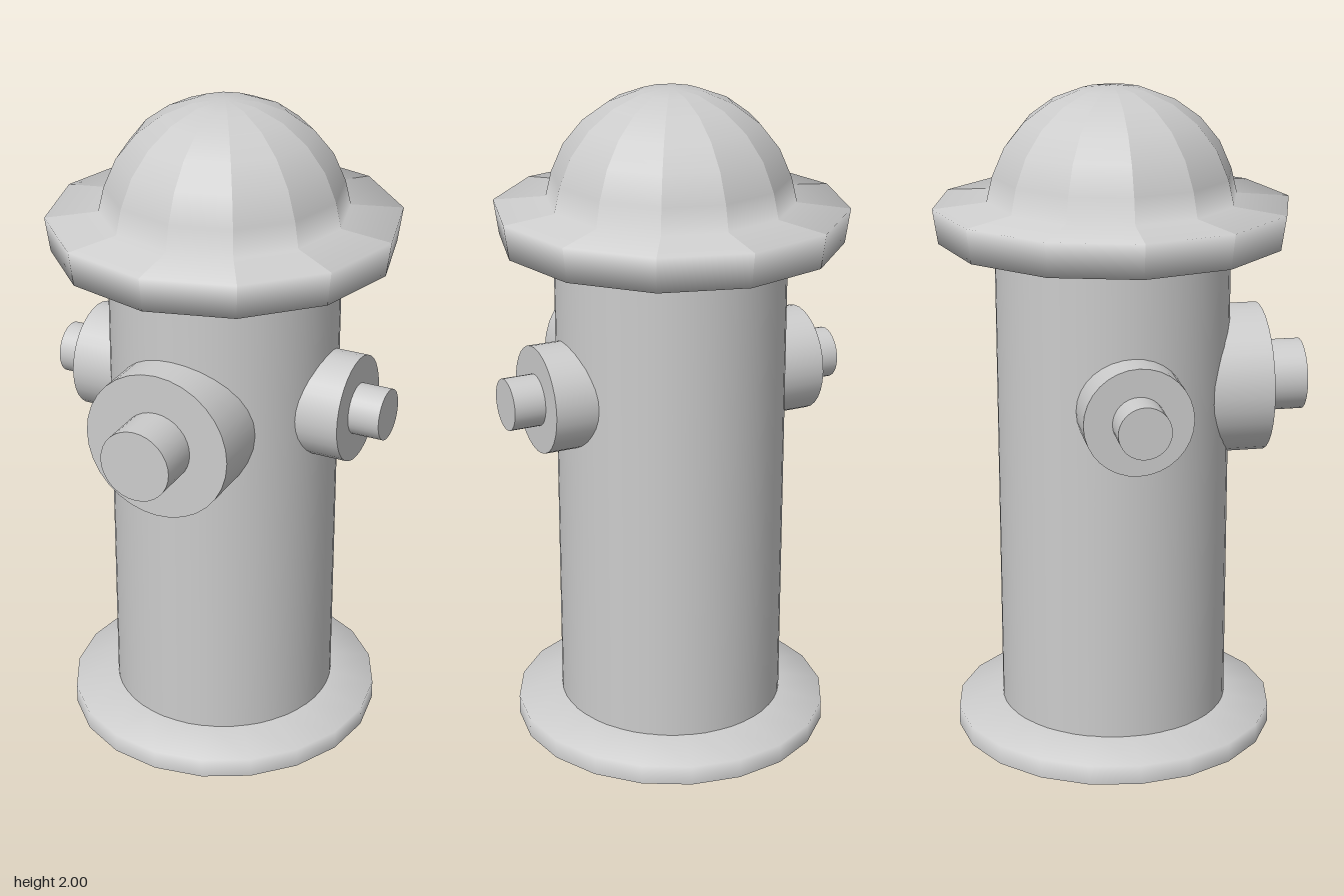
import * as THREE from 'three';

const grey = new THREE.MeshStandardMaterial({ color: 0xcccccc, side: THREE.DoubleSide });
const AXIS_Z = -0.023; // the barrel sits slightly behind the centre

function add(parent, name, geometry) {
  const mesh = new THREE.Mesh(geometry, grey);
  mesh.name = name;
  parent.add(mesh);
  return mesh;
}

function lathe(points, sides) {
  return new THREE.LatheGeometry(points.map(([r, y]) => new THREE.Vector2(r, y)), sides);
}

// Keep shading smooth up the profile but flat across each vertical panel
function panelled(geometry, sides) {
  const g = geometry.toNonIndexed();
  const p = g.attributes.position, n = g.attributes.normal;
  const step = (Math.PI * 2) / sides;
  for (let i = 0; i < p.count; i += 3) {
    let x = 0, z = 0;
    for (let k = i; k < i + 3; k++) { x += p.getX(k); z += p.getZ(k); }
    const mid = (Math.floor(Math.atan2(x, z) / step) + 0.5) * step;
    for (let k = i; k < i + 3; k++) {
      const a = Math.atan2(p.getX(k), p.getZ(k));
      const onAxis = Math.hypot(p.getX(k), p.getZ(k)) < 1e-4;
      const radial = onAxis ? 0 : n.getX(k) * Math.sin(a) + n.getZ(k) * Math.cos(a);
      n.setXYZ(k, radial * Math.sin(mid), n.getY(k), radial * Math.cos(mid));
    }
  }
  return g;
}

// Outlet pointing along +z: a wide collar with a narrow cap nut
function outlet(name, start, collarR, collarEnd, nutR, nutEnd) {
  const group = new THREE.Group();
  group.name = name;
  const stub = (part, r, from, to) => {
    const g = new THREE.CylinderGeometry(r, r, to - from, 32);
    g.rotateX(Math.PI / 2).translate(0, 0, (from + to) / 2);
    add(group, part, g);
  };
  stub('collar', collarR, start, collarEnd);
  stub('capNut', nutR, collarEnd - 0.02, nutEnd);
  return group;
}

export function createModel() {
  const model = new THREE.Group();
  model.name = 'fireHydrant';

  // Barrel, base and bonnet are slightly deeper than wide
  const column = new THREE.Group();
  column.name = 'column';
  column.position.z = AXIS_Z;
  column.scale.z = 1.02;
  model.add(column);

  // Open hollow barrel
  const barrel = new THREE.CylinderGeometry(0.342, 0.342, 1.48, 48, 1, true);
  add(column, 'barrel', barrel.translate(0, 0.82, 0));

  // Hollow base flange, open underneath
  add(column, 'baseFlange', lathe([[0.48, 0], [0.48, 0.06], [0.34, 0.088]], 20));

  // Twelve-sided bonnet: brim underside, brim edge, then dome
  const bonnet = [[0.33, 1.535], [0.505, 1.552], [0.52, 1.655], [0.365, 1.67]];
  for (let i = 1; i <= 6; i++) {
    const a = (i / 6) * Math.PI / 2;
    bonnet.push([i === 6 ? 0 : 0.36 * Math.cos(a), 1.655 + 0.345 * Math.sin(a)]);
  }
  add(column, 'bonnet', panelled(lathe(bonnet, 12), 12));

  // Large front outlet
  const front = outlet('frontOutlet', 0.24, 0.225, 0.425, 0.108, 0.555);
  front.position.y = 1.1;
  model.add(front);

  // Small side outlets
  for (const side of [1, -1]) {
    const o = outlet(side > 0 ? 'leftOutlet' : 'rightOutlet', 0.29, 0.16, 0.435, 0.077, 0.53);
    o.position.set(0, 1.117, AXIS_Z);
    o.rotation.y = (side * Math.PI) / 2;
    model.add(o);
  }
  return model;
}
